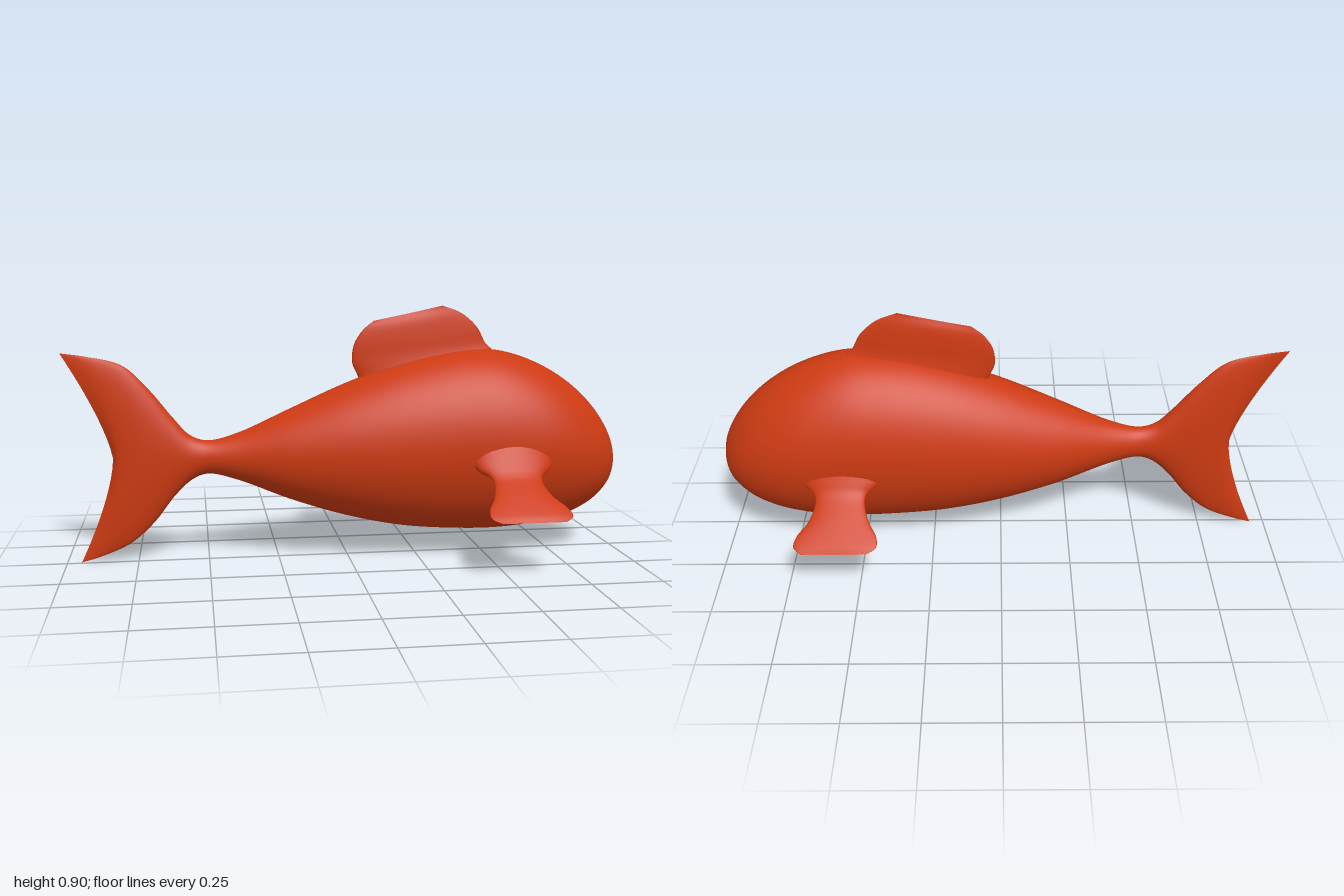
import * as THREE from 'three';

const material = new THREE.MeshStandardMaterial({ color: 0xcc3a12, side: THREE.DoubleSide });

// Smooth loft through rings given as [midX, midBow, ax, ay, bx, by, halfThickness]:
// each ring spans from edge B to edge A, bulges along z, and may bow in x.
function loft(rows, power, steps, sides) {
  const curve = (f) => new THREE.CatmullRomCurve3(rows.map(f));
  const edgeA = curve((r) => new THREE.Vector3(r[1], r[2], 0));
  const edgeB = curve((r) => new THREE.Vector3(r[3], r[4], 0));
  const middle = curve((r) => new THREE.Vector3(r[0], r[5], 0));
  const pos = [], index = [];
  for (let i = 0; i <= steps; i++) {
    const t = i / steps;
    const A = edgeA.getPoint(t), B = edgeB.getPoint(t), M = middle.getPoint(t);
    const chord = (A.x + B.x) / 2;
    for (let j = 0; j < sides; j++) {
      const a = (j / sides) * Math.PI * 2, v = Math.sin(a), c = Math.cos(a);
      const straight = chord + ((A.x - B.x) / 2) * v;
      const bow = (M.x - chord) * (1 - Math.abs(v) ** 1.4);
      const z = Math.max(M.y, 0) * Math.sign(c) * Math.abs(c) ** power;
      pos.push(straight + bow, (A.y + B.y) / 2 + ((A.y - B.y) / 2) * v, z);
      if (i < steps) {
        const k = i * sides + j, n = i * sides + ((j + 1) % sides);
        index.push(k, k + sides, n + sides, k, n + sides, n);
      }
    }
  }
  const geometry = new THREE.BufferGeometry();
  geometry.setAttribute('position', new THREE.Float32BufferAttribute(pos, 3));
  geometry.setIndex(index);
  geometry.computeVertexNormals();
  return geometry;
}

function part(name, geometry) {
  const mesh = new THREE.Mesh(geometry, material);
  mesh.name = name;
  return mesh;
}

export function createModel() {
  const fish = new THREE.Group();
  fish.name = 'fish';

  // Crescent tail: middle x, upper edge x/y, lower edge x/y, half thickness
  const tail = [
    [-0.83, -1.0, 0.745, -0.95, 0.0, 0],
    [-0.81, -0.91, 0.732, -0.885, 0.018, 0.022],
    [-0.75, -0.79, 0.70, -0.775, 0.065, 0.037],
    [-0.68, -0.70, 0.615, -0.69, 0.14, 0.042],
    [-0.61, -0.62, 0.515, -0.615, 0.235, 0.042],
    [-0.555, -0.56, 0.45, -0.555, 0.29, 0.041],
  ];
  // Body: x, top, bottom, half width
  const trunk = [
    [-0.5, 0.43, 0.31, 0.043], [-0.4, 0.452, 0.287, 0.065],
    [-0.2, 0.54, 0.207, 0.13], [0, 0.628, 0.143, 0.178],
    [0.2, 0.697, 0.1, 0.208], [0.4, 0.737, 0.082, 0.226],
    [0.55, 0.739, 0.08, 0.233], [0.7, 0.692, 0.095, 0.226],
    [0.82, 0.62, 0.125, 0.197], [0.91, 0.535, 0.17, 0.15],
    [0.965, 0.455, 0.222, 0.098], [0.99, 0.395, 0.268, 0.052],
    [1, 0.332, 0.332, 0],
  ].map(([x, top, bottom, w]) => [x, x, top, x, bottom, w]);
  const body = part('bodyAndTail', loft([...tail, ...trunk], 1.12, 120, 64));
  body.position.z = -0.01;
  fish.add(body);

  // Dorsal fin: middle x, rear edge x/y, front edge x/y, half thickness
  const dorsal = part('dorsalFin', loft([
    [0.29, 0.05, 0.58, 0.58, 0.66, 0.06],
    [0.29, 0.043, 0.645, 0.54, 0.735, 0.034],
    [0.28, 0.021, 0.70, 0.51, 0.765, 0.024],
    [0.26, 0.028, 0.765, 0.48, 0.82, 0.019],
    [0.24, 0.06, 0.815, 0.42, 0.873, 0.012],
    [0.23, 0.1, 0.848, 0.35, 0.9, 0],
  ], 1, 32, 40));
  dorsal.position.z = -0.017;
  fish.add(dorsal);

  // Pectoral fins, flared at the root and tip, sloping down and outwards
  const pectoral = loft([
    [0.56, 0.40, -0.08, 0.72, -0.08, 0.07],
    [0.56, 0.43, -0.015, 0.685, -0.015, 0.037],
    [0.557, 0.465, 0.02, 0.65, 0.02, 0.021],
    [0.557, 0.472, 0.05, 0.642, 0.05, 0.015],
    [0.56, 0.456, 0.12, 0.662, 0.12, 0.013],
    [0.565, 0.428, 0.175, 0.70, 0.175, 0.01],
    [0.567, 0.427, 0.213, 0.708, 0.213, 0.007],
    [0.567, 0.46, 0.238, 0.68, 0.238, 0],
  ], 1, 40, 32);
  for (const side of [1, -1]) {
    const fin = part(side > 0 ? 'frontPectoralFin' : 'backPectoralFin', pectoral);
    fin.rotation.x = side * 2.165;
    fin.position.set(0, 0.333, side * 0.241);
    fish.add(fin);
  }
  return fish;
}
